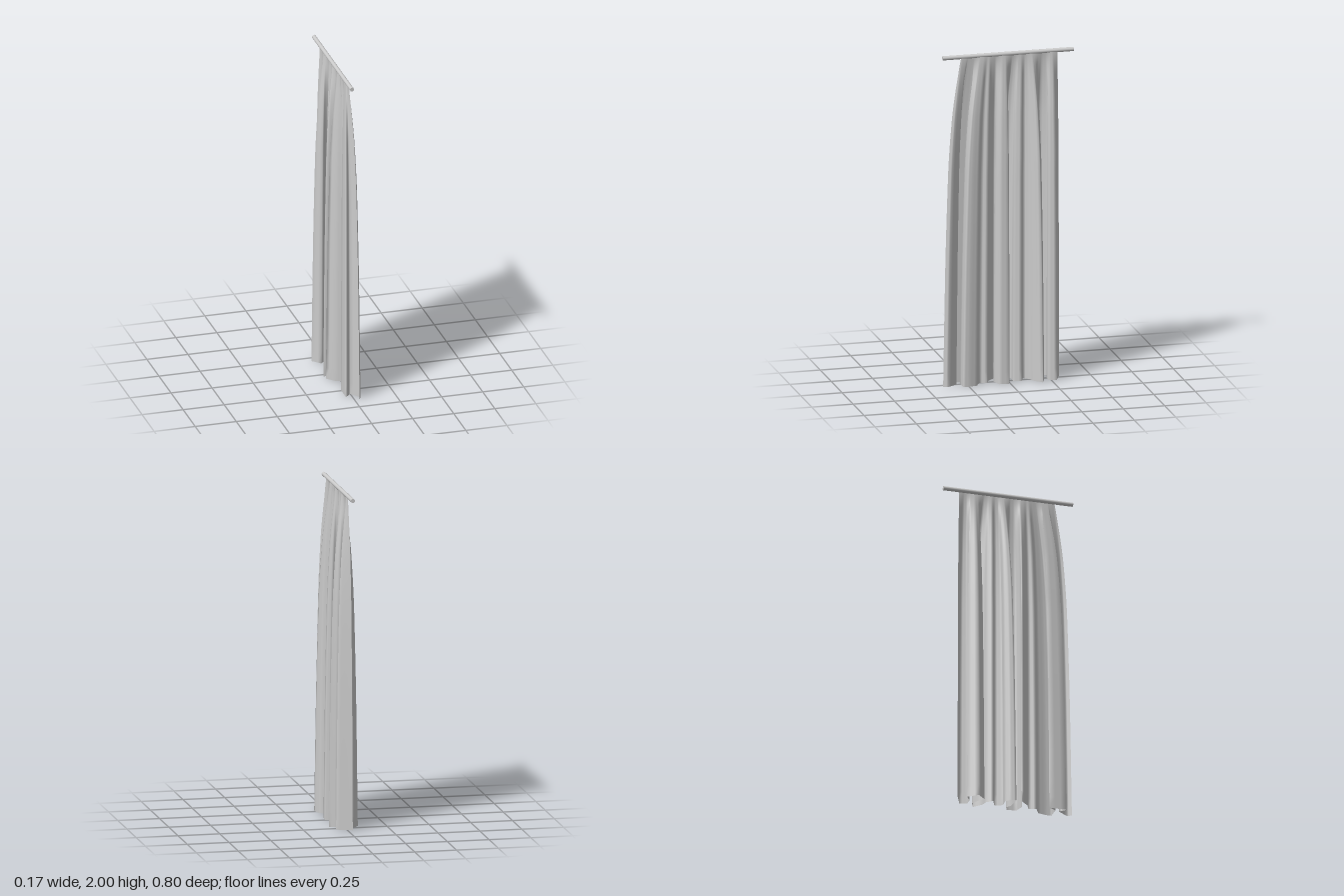
import * as THREE from 'three';

// Pleat outline along the hem, as [x, z], from the front edge to the back edge
const HEM = [
  [0.03, 0.398], [0.044, 0.372], [0, 0.31], [-0.037, 0.345], [-0.037, 0.24], [-0.01, 0.285], [0.068, 0.284], [0.068, 0.25], [0.055, 0.2],
  [0, 0.172], [0.02, 0.13], [-0.03, 0.108], [-0.075, 0.06], [0, 0.085], [0.06, 0.067], [0.065, 0.01],
  [0.035, -0.002], [0, 0.02], [-0.08, 0.026], [-0.07, -0.01], [-0.045, -0.033], [-0.01, -0.03],
  [0.01, -0.03], [0.03, -0.075], [-0.03, -0.1], [0, -0.135], [0.04, -0.147], [0.085, -0.19],
  [0.038, -0.21], [0, -0.19], [-0.04, -0.157], [-0.085, -0.205], [-0.04, -0.263], [0, -0.235],
  [0.045, -0.235], [0.061, -0.28], [0, -0.305], [-0.03, -0.318],
];

// Fullness of the pleats by height: gathered at the rod, open at the hem
const FULLNESS = [
  [0.005, 1], [0.4, 0.94], [0.8, 0.87], [1.2, 0.76], [1.4, 0.68], [1.6, 0.54],
  [1.7, 0.44], [1.8, 0.31], [1.88, 0.19], [1.94, 0.1], [1.985, 0.02],
];

function createCloth() {
  const outline = HEM.map(([x, z]) => new THREE.Vector2(x, z));
  // Split each hem segment, so folds stay crisp but shade softly
  const hem = [];
  outline.forEach((p, i) => {
    if (i === 0) return hem.push(p);
    for (let k = 1; k <= 3; k++) hem.push(outline[i - 1].clone().lerp(p, k / 3));
  });
  const lengths = [0];
  for (let i = 1; i < hem.length; i++) lengths.push(lengths[i - 1] + hem[i].distanceTo(hem[i - 1]));
  const total = lengths[lengths.length - 1];

  const profile = new THREE.SplineCurve(FULLNESS.map(([y, f]) => new THREE.Vector2(f, y)));
  const rows = 40, cols = hem.length, positions = [], indices = [];
  for (let r = 0; r <= rows; r++) {
    const { x: f, y } = profile.getPoint(r / rows);
    for (let c = 0; c < cols; c++) {
      const topZ = THREE.MathUtils.lerp(0.278, -0.3, lengths[c] / total);
      positions.push(THREE.MathUtils.lerp(-0.004, hem[c].x, f), y, THREE.MathUtils.lerp(topZ, hem[c].y, f));
      if (r < rows && c < cols - 1) {
        const a = r * cols + c, b = a + cols;
        indices.push(a, a + 1, b, a + 1, b + 1, b);
      }
    }
  }
  const geometry = new THREE.BufferGeometry();
  geometry.setAttribute('position', new THREE.Float32BufferAttribute(positions, 3));
  geometry.setIndex(indices);
  geometry.computeVertexNormals();
  return geometry;
}

export function createModel() {
  const group = new THREE.Group();
  group.name = 'curtain';

  // Hanging pleated cloth
  const cloth = new THREE.Mesh(
    createCloth(),
    new THREE.MeshStandardMaterial({ color: 0xcccccc, side: THREE.DoubleSide }),
  );
  cloth.name = 'cloth';

  // Rod across the top
  const rod = new THREE.Mesh(
    new THREE.CylinderGeometry(0.0125, 0.0125, 0.79, 16).rotateX(Math.PI / 2),
    new THREE.MeshStandardMaterial({ color: 0xcccccc }),
  );
  rod.name = 'rod';
  rod.position.set(-0.0125, 1.9875, -0.005);

  group.add(cloth, rod);
  return group;
}
